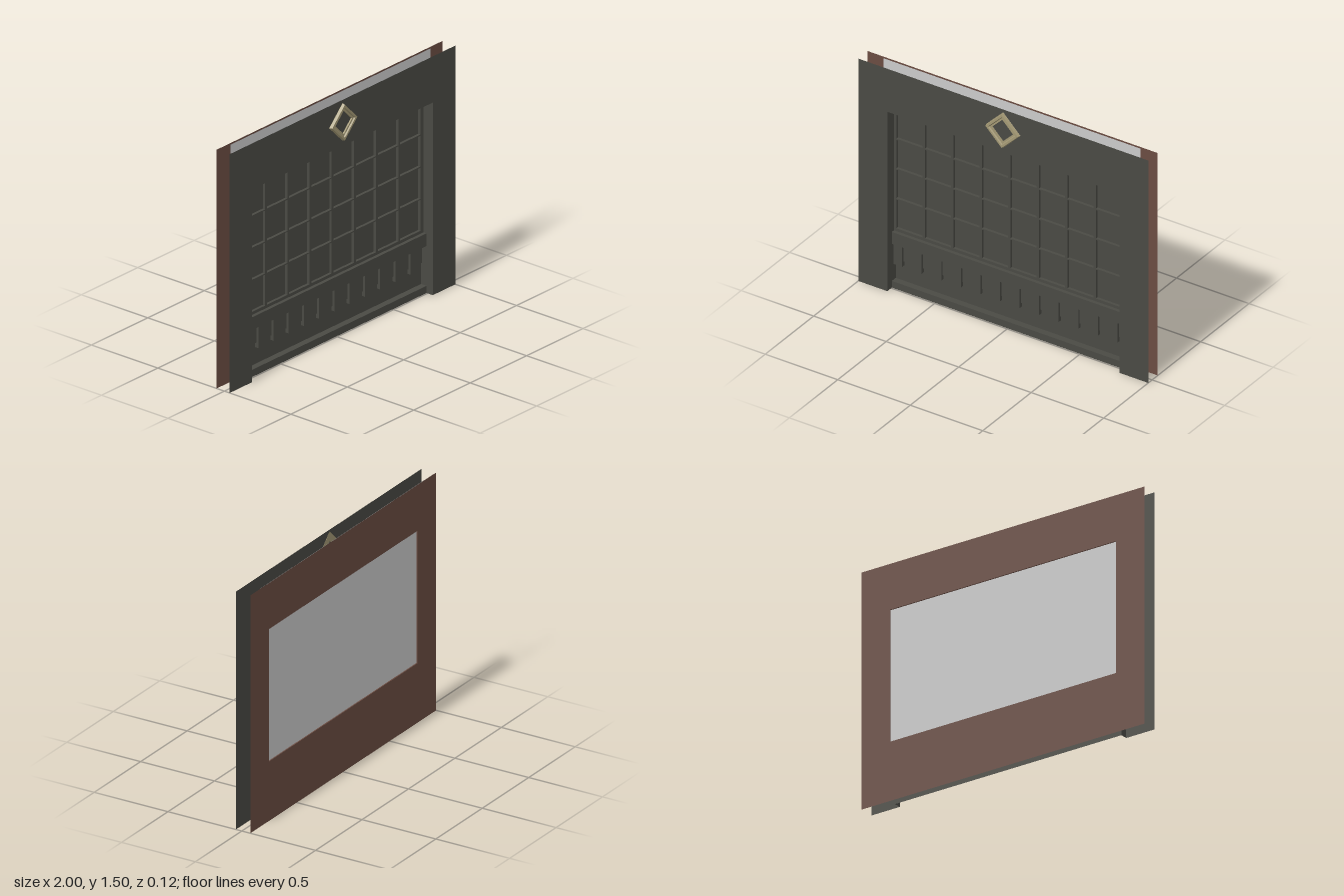
import * as THREE from 'three';

const flat = (name, color) => Object.assign(
  new THREE.MeshStandardMaterial({ color, side: THREE.DoubleSide, flatShading: true }), { name });

// Rectangle corner list from edges
const rect = (x0, y0, x1, y1) => [[x0, y0], [x1, y0], [x1, y1], [x0, y1]];
const toVectors = (pts) => pts.map(([x, y]) => new THREE.Vector2(x, y));

function outline(pts, holes = []) {
  const shape = new THREE.Shape(toVectors(pts));
  holes.forEach((h) => shape.holes.push(new THREE.Path(toVectors(h))));
  return shape;
}

// Open band of quads running along an outline between two depths
function band(pts, z0, z1, closed) {
  const pos = [], index = [];
  const path = closed ? [...pts, pts[0]] : pts;
  path.forEach(([x, y], i) => {
    pos.push(x, y, z0, x, y, z1);
    if (i) {
      const a = 2 * (i - 1);
      index.push(a, a + 1, a + 2, a + 1, a + 3, a + 2);
    }
  });
  const g = new THREE.BufferGeometry();
  g.setAttribute('position', new THREE.Float32BufferAttribute(pos, 3));
  g.setIndex(index);
  g.computeVertexNormals();
  return g;
}

export function createModel() {
  const model = new THREE.Group();
  model.name = 'wallWithWindow';
  const dark = flat('darkStone', 0x4a4a44);
  const brown = flat('brownWall', 0x6a4c42);
  const grey = flat('greyPane', 0xcacaca);
  const gold = flat('paleGold', 0xa39874);

  const add = (name, geometry, material, parent = model) => {
    const mesh = new THREE.Mesh(geometry, material);
    mesh.name = name;
    parent.add(mesh);
    return mesh;
  };
  const plate = (name, z, material, pts, holes) => {
    add(name, new THREE.ShapeGeometry(outline(pts, holes)), material).position.z = z;
  };

  const W = 0.8, TOP = 1.21, SILL = 0.375, LEDGE = 0.295, BASE = 0.045;
  const FRONT = 0.04, INNER = -0.007, BACK = -0.048;
  const windowRect = rect(-W, SILL, W, TOP);
  const lowerRect = rect(-W, BASE, W, LEDGE);

  // Outer front wall, open at the bottom, with its reveal
  plate('frontWall', FRONT, dark,
    [[-1, 0], [-W, 0], [-W, TOP], [W, TOP], [W, 0], [1, 0], [1, 1.5], [-1, 1.5]]);
  add('openingReveal', band([[-W, 0], [-W, TOP], [W, TOP], [W, 0]], FRONT, INNER, false), dark);

  // Ledge and base strips on the inner plane
  plate('ledge', INNER, dark, rect(-W, LEDGE, W, SILL));
  plate('baseStrip', INNER, dark, rect(-W, 0, W, BASE));

  // Window recess and lower recess
  add('windowReveal', band(windowRect, INNER, BACK, true), dark);
  add('lowerReveal', band(lowerRect, INNER, BACK, true), dark);
  plate('windowPanes', BACK + 0.001, dark, windowRect);
  plate('lowerPanel', BACK, dark, lowerRect);

  // Window lattice: eight columns by four rows
  const holes = [];
  for (let c = 0; c < 8; c++) {
    for (let r = 0; r < 4; r++) {
      const x = -0.784 + c * 0.1966, y = 0.394 + r * 0.2015;
      holes.push(rect(x, y, x + 0.18, y + 0.194));
    }
  }
  add('windowLattice', new THREE.ExtrudeGeometry(outline(windowRect, holes),
    { depth: 0.018, bevelEnabled: false }), dark).position.z = BACK + 0.001;

  // Row of teeth under the ledge, with sloped tops, on a shallow backing band
  const teeth = new THREE.Group();
  teeth.name = 'teeth';
  model.add(teeth);
  const profile = outline([[0.049, 0.15], [0.025, 0.15], [0.025, 0.325], [0.049, 0.332]]);
  const toothGeometry = new THREE.ExtrudeGeometry(profile, { depth: 0.064, bevelEnabled: false });
  toothGeometry.rotateY(Math.PI / 2).scale(1, 1, 1);
  for (let i = 0; i < 12; i++) {
    add('tooth', toothGeometry, dark, teeth).position.x = -0.805 + i * 0.135;
  }
  add('teethBacking', new THREE.BoxGeometry(2 * W, LEDGE - 0.18, 0.008), dark, teeth)
    .position.set(0, (LEDGE + 0.18) / 2, BACK + 0.004);

  // Grey sheet behind the window
  plate('greySheet', -0.05, grey, rect(-0.885, 0.09, 0.885, 1.495));

  // Rear wall with a window hole and its shallow reveal
  plate('rearWall', -0.058, brown, rect(-1, 0, 1, 1.5), [windowRect]);
  add('rearReveal', band(windowRect, -0.058, -0.0505, true), brown);

  // Diamond ring ornament
  const ring = [[0.132, 0.033], [0.117, 0.041], [0.112, 0.058], [0.095, 0.058],
    [0.088, 0.05], [0.074, 0.05], [0.074, 0.033], [0.132, 0.033]];
  const ringGeometry = new THREE.LatheGeometry(toVectors(ring), 4).rotateX(Math.PI / 2);
  add('diamondOrnament', ringGeometry, gold).position.y = 1.362;

  return model;
}
